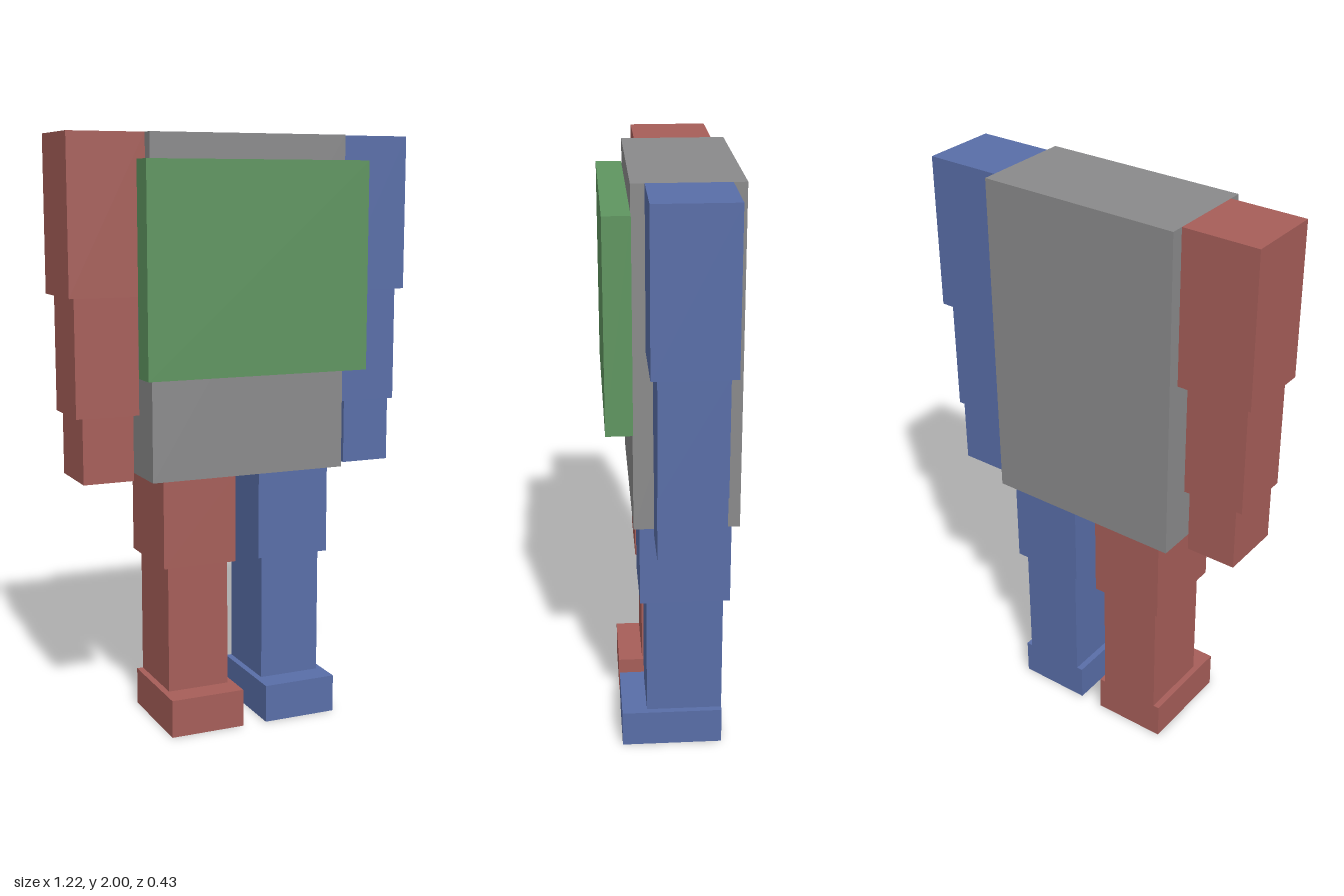
import * as THREE from 'three';

const paint = (name, color) => {
  const m = new THREE.MeshStandardMaterial({ color });
  m.name = name;
  return m;
};

// Box given by its low and high limits along each axis
function block(name, material, [x0, x1], [y0, y1], [z0, z1]) {
  const mesh = new THREE.Mesh(new THREE.BoxGeometry(x1 - x0, y1 - y0, z1 - z0), material);
  mesh.position.set((x0 + x1) / 2, (y0 + y1) / 2, (z0 + z1) / 2);
  mesh.name = name;
  return mesh;
}

export function createModel() {
  const grey = paint('torso grey', 0x8a8a8b);
  const green = paint('chest green', 0x5f9560);
  const blue = paint('left blue', 0x596ea8);
  const red = paint('right red', 0xa65e59);

  const model = new THREE.Group();
  model.name = 'blockFigure';

  // Torso and chest plate
  model.add(block('torso', grey, [-0.348, 0.348], [0.872, 2], [-0.217, 0.13]));
  model.add(block('chestPlate', green, [-0.392, 0.392], [1.22, 1.915], [0.13, 0.217]));

  // Limb segments on the left side: name, x, y and z limits
  const arm = [
    ['upperArm', [0.348, 0.608], [1.48, 2], [-0.174, 0.087]],
    ['forearm', [0.37, 0.586], [1.09, 1.48], [-0.152, 0.066]],
    ['hand', [0.391, 0.565], [0.872, 1.09], [-0.152, 0.066]],
  ];
  const leg = [
    ['thigh', [0.043, 0.304], [0.57, 0.872], [-0.195, 0.109]],
    ['shin', [0.065, 0.282], [0.13, 0.57], [-0.174, 0.087]],
    ['foot', [0.043, 0.304], [0, 0.13], [-0.174, 0.174]],
  ];

  // Both limbs, mirrored by swapping the x limits
  for (const [side, s, material] of [['left', 1, blue], ['right', -1, red]]) {
    for (const [limb, parts] of [['Arm', arm], ['Leg', leg]]) {
      const group = new THREE.Group();
      group.name = side + limb;
      for (const [name, x, y, z] of parts) {
        group.add(block(name, material, s > 0 ? x : [-x[1], -x[0]], y, z));
      }
      model.add(group);
    }
  }
  return model;
}
